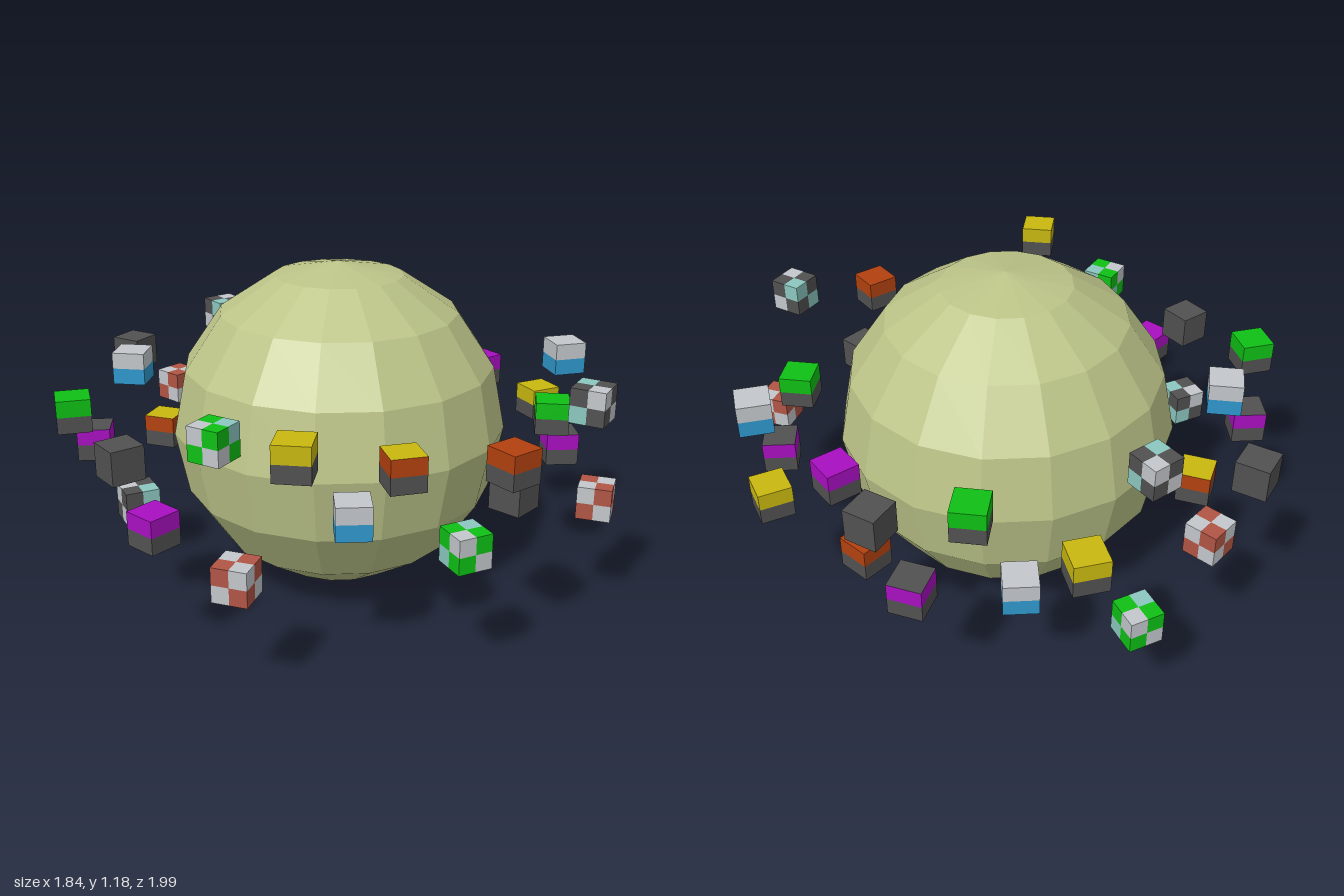
import * as THREE from 'three';

const paint = (name, color) => {
  const m = new THREE.MeshStandardMaterial({ color });
  m.name = name;
  return m;
};

export function createModel() {
  const model = new THREE.Group();
  model.name = 'orbWithFloatingBlocks';

  const stone = paint('paleOlive', 0xbcc488);
  const dark = paint('darkGrey', 0x515151);
  const light = paint('lightGrey', 0xc3c7cb);
  const orange = paint('orange', 0xb2410f);
  const yellow = paint('yellow', 0xc9b80f);
  const purple = paint('purple', 0xa80fc0);
  const green = paint('green', 0x0fc015);
  const blue = paint('blue', 0x2f97cc);
  const teal = paint('teal', 0x8cc8c0);
  const red = paint('brickRed', 0xb05545);

  const S = 0.118;          // block size
  const CX = 0.026;         // ring centre
  const CY = 0.595;

  // Faceted orb
  const orbGeo = new THREE.SphereGeometry(0.6, 16, 8)
    .rotateY(Math.PI / 16).scale(1, 0.59 / 0.6, 1).toNonIndexed();
  orbGeo.computeVertexNormals();
  const orb = new THREE.Mesh(orbGeo, stone);
  orb.name = 'orb';
  orb.position.set(CX, CY, 0);
  model.add(orb);

  const slab = new THREE.BoxGeometry(S, S / 2, S);
  const cubelet = new THREE.BoxGeometry(S / 2, S / 2, S / 2);

  // Block with a coloured upper half and a plain lower half
  const halves = (top, side, bottom) => () => {
    const g = new THREE.Group();
    const upper = new THREE.Mesh(slab, [side, side, top, side, side, side]);
    const lower = new THREE.Mesh(slab, bottom);
    upper.name = 'upperHalf';
    lower.name = 'lowerHalf';
    upper.position.y = S / 4;
    lower.position.y = -S / 4;
    g.add(upper, lower);
    return g;
  };

  // Block of eight cubelets in a checker pattern
  const checker = (even, outer, inner) => () => {
    const g = new THREE.Group();
    for (const x of [-1, 1]) for (const y of [-1, 1]) for (const z of [-1, 1]) {
      const m = new THREE.Mesh(cubelet, x * y * z < 0 ? even : x > 0 ? outer : inner);
      m.name = 'cubelet';
      m.position.set(x, y, z).multiplyScalar(S / 4);
      g.add(m);
    }
    return g;
  };

  const kinds = {
    plain: halves(dark, dark, dark),
    violetBand: halves(dark, purple, dark),
    violet: halves(purple, purple, dark),
    orange: halves(orange, orange, dark),
    amber: halves(yellow, orange, dark),
    yellow: halves(yellow, yellow, dark),
    ice: halves(light, light, blue),
    green: halves(green, green, dark),
    redChecker: checker(light, red, red),
    greyChecker: checker(dark, light, teal),
    greenChecker: checker(green, light, teal),
  };

  // Ring of blocks, evenly spaced in angle: kind, radius and height in half blocks
  const ring = [
    ['orange', 12, 7], ['violet', 12, 11], ['yellow', 15, 9], ['ice', 15, 13],
    ['violetBand', 14, 8], ['green', 13, 11], ['redChecker', 16, 7], ['greyChecker', 16, 14],
    ['plain', 13, 9], ['orange', 15, 12], ['greenChecker', 15, 8], ['amber', 13, 12],
    ['ice', 12, 9], ['yellow', 16, 14], ['redChecker', 16, 7], ['greenChecker', 13, 13],
    ['violet', 15, 8], ['plain', 15, 11], ['greyChecker', 13, 7], ['green', 16, 12],
    ['violetBand', 15, 9], ['ice', 13, 13], ['amber', 12, 8], ['plain', 16, 12],
    ['redChecker', 15, 9], ['greyChecker', 13, 14], ['greenChecker', 16, 7], ['yellow', 16, 12],
    ['ice', 13, 8], ['green', 13, 13], ['violetBand', 15, 9], ['plain', 14, 12],
  ];
  ring.forEach(([kind, r, h], i) => {
    const a = (i / ring.length) * Math.PI * 2;
    const block = kinds[kind]();
    block.name = kind + 'Block';
    block.position.set(CX + Math.cos(a) * r * S / 2, 0.004 + h * S / 2, Math.sin(a) * r * S / 2);
    block.rotation.y = -a;
    model.add(block);
  });

  return model;
}
